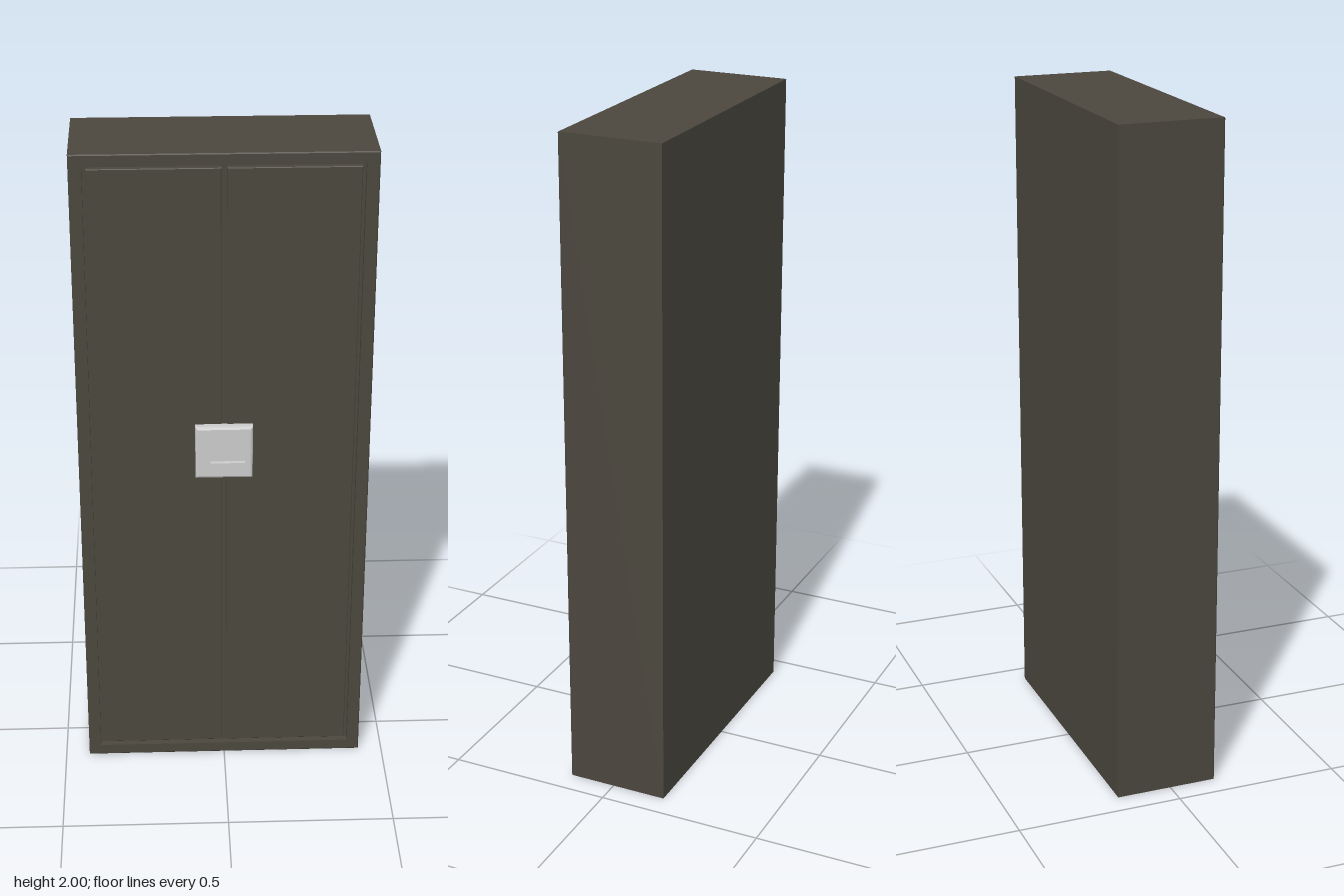
import * as THREE from 'three';

const dark = new THREE.MeshStandardMaterial({ color: 0x4b473e });
const grey = new THREE.MeshStandardMaterial({ color: 0xcccccc });

// Skins rectangles [x0, x1, y0, y1, z] listed from the back to the front, capped at both ends
function rectLoft(rects) {
  const positions = [];
  const index = [];
  for (const [x0, x1, y0, y1, z] of rects) {
    positions.push(x0, y0, z, x1, y0, z, x1, y1, z, x0, y1, z);
  }
  for (let r = 0; r < rects.length - 1; r++) {
    for (let i = 0; i < 4; i++) {
      const a = r * 4 + i;
      const b = r * 4 + (i + 1) % 4;
      index.push(a, b, b + 4, a, b + 4, a + 4);
    }
  }
  const last = (rects.length - 1) * 4;
  index.push(0, 2, 1, 0, 3, 2, last, last + 1, last + 2, last, last + 2, last + 3);
  const indexed = new THREE.BufferGeometry();
  indexed.setAttribute('position', new THREE.Float32BufferAttribute(positions, 3));
  indexed.setIndex(index);
  const geometry = indexed.toNonIndexed();
  geometry.computeVertexNormals();
  return geometry;
}

// Rectangle inset by d on every side
const inset = ([x0, x1, y0, y1], d, z) => [x0 + d, x1 - d, y0 + d, y1 - d, z];

function addPart(group, name, geometry, material) {
  const mesh = new THREE.Mesh(geometry, material);
  mesh.name = name;
  group.add(mesh);
  return mesh;
}

export function createModel() {
  const cabinet = new THREE.Group();
  cabinet.name = 'cabinet';

  // Carcass with a front frame around a shallow door recess
  const outline = [-0.427, 0.427, 0, 2];
  const opening = [-0.39, 0.39, 0.035, 1.968];
  addPart(cabinet, 'carcass', rectLoft([
    inset(outline, 0, -0.167),
    inset(outline, 0, 0.14),
    inset(outline, 0.003, 0.143),
    inset(opening, 0, 0.143),
    inset(opening, 0, 0.122),
  ]), dark);

  // Pair of doors, with a gap around them and between them
  for (const side of [-1, 1]) {
    const xs = [side * 0.008, side * 0.38].sort((a, b) => a - b);
    const face = [...xs, 0.046, 1.957];
    addPart(cabinet, side > 0 ? 'leftDoor' : 'rightDoor', rectLoft([
      inset(face, 0, 0.121),
      inset(face, 0, 0.138),
      inset(face, 0.002, 0.14),
    ]), dark);
  }

  // Lock plate with bevelled edges and a recessed window
  const plate = [-0.085, 0.083, 1.005, 1.172];
  const windowRect = [-0.041, 0.06, 1.055, 1.122];
  addPart(cabinet, 'lockPlate', rectLoft([
    inset(plate, 0, 0.138),
    inset(plate, 0, 0.156),
    inset(plate, 0.002, 0.162),
    inset(plate, 0.007, 0.165),
    inset(windowRect, 0, 0.165),
    inset(windowRect, 0, 0.152),
  ]), grey);

  return cabinet;
}
